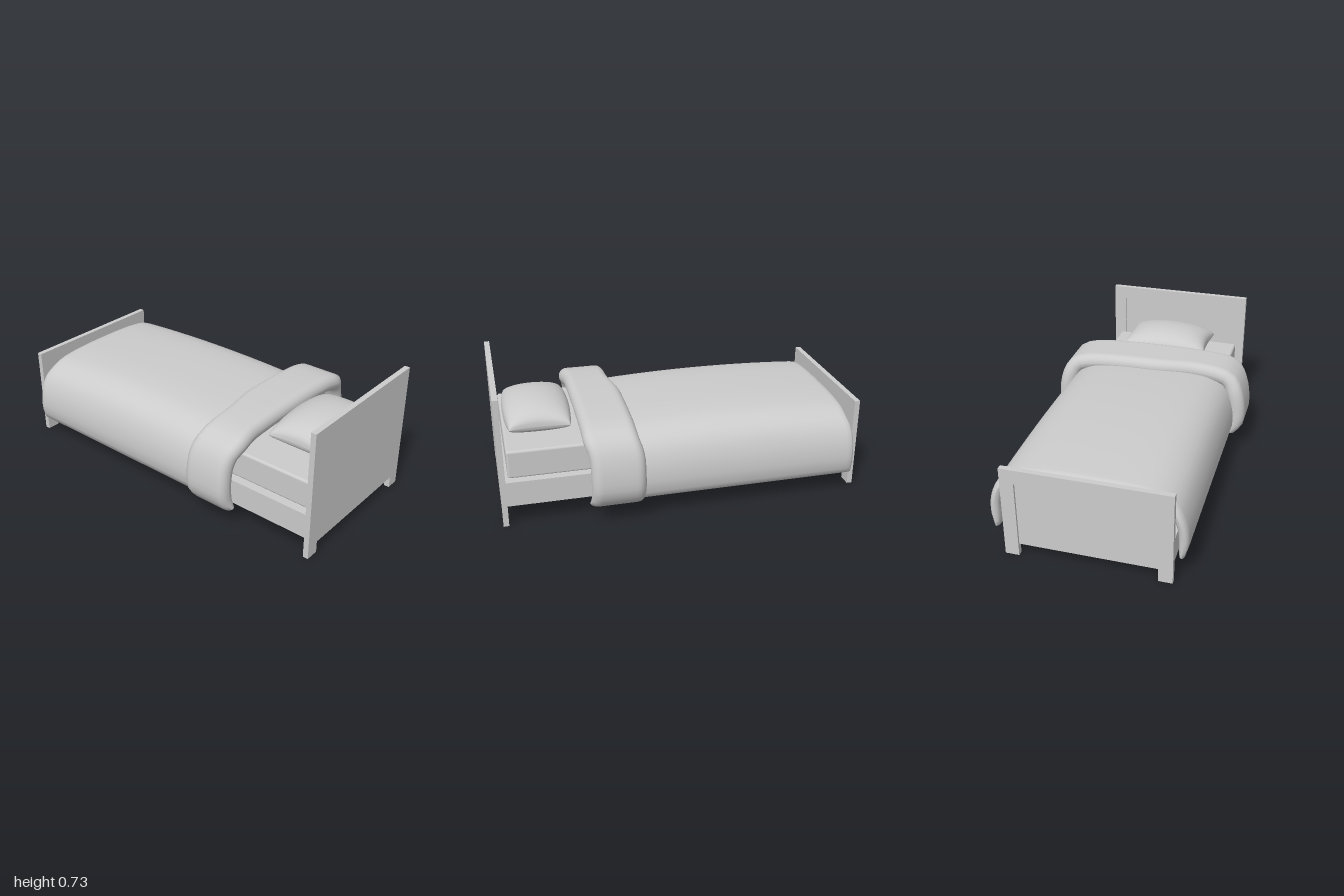
import * as THREE from 'three';
import { RoundedBoxGeometry } from 'three/addons/geometries/RoundedBoxGeometry.js';

const CX = -0.0175; // middle of the wooden frame
const grey = () => new THREE.MeshStandardMaterial({ color: 0xcccccc, side: THREE.DoubleSide });

function add(parent, name, geometry, x = 0, y = 0, z = 0) {
  const mesh = new THREE.Mesh(geometry, grey());
  mesh.name = name;
  mesh.position.set(x, y, z);
  parent.add(mesh);
  return mesh;
}

// Smooth indexed surface from point rows; rows may close into rings
function skin(rows, closed) {
  const n = rows[0].length, index = [];
  for (let i = 0; i < rows.length - 1; i++) {
    for (let j = 0; j < (closed ? n : n - 1); j++) {
      const a = i * n + j, b = i * n + (j + 1) % n;
      index.push(a, b, a + n, b, b + n, a + n);
    }
  }
  const g = new THREE.BufferGeometry();
  g.setAttribute('position', new THREE.Float32BufferAttribute(rows.flat(2), 3));
  g.setIndex(index);
  g.computeVertexNormals();
  return g;
}

// Board with two feet, posts and top rail standing proud of the panel on the -z side
function board(parent, name, height, z) {
  const g = new THREE.Group();
  g.name = name;
  const w = 0.4425, inner = 0.3675;
  const arch = (gap) => new THREE.Shape([
    [-w, 0], [-inner, 0], [-inner, gap], [inner, gap], [inner, 0], [w, 0], [w, height], [-w, height],
  ].map(([x, y]) => new THREE.Vector2(x, y)));
  const slab = (depth, gap) => new THREE.ExtrudeGeometry(arch(gap), { depth, bevelEnabled: false });
  add(g, name + 'Panel', slab(0.018, 0.065), 0, 0, 0.012);
  add(g, name + 'Border', slab(0.012, height - 0.08));
  g.position.set(CX, 0, z);
  parent.add(g);
}

// Thick cloth hung over the bed: a half profile is mirrored and swept from z0 to z1
function drape(profile, z0, z1, half, lift, wave) {
  const mirrored = [...profile.slice(1).reverse().map(([x, y]) => [-x, y]), ...profile];
  const curve = new THREE.CatmullRomCurve3(mirrored.map(([x, y]) => new THREE.Vector3(x, y, 0)));
  const N = 48, M = 28, rows = [];
  const pts = curve.getSpacedPoints(N);
  const tan = pts.map((_, i) => curve.getTangentAt(i / N));
  for (let k = 0; k <= M; k++) {
    const t = 0.5 - 0.5 * Math.cos(Math.PI * k / M);
    const end = Math.min(t, 1 - t) * (z1 - z0) / half;
    const h = half * Math.sqrt(Math.max(0, 1 - Math.max(0, 1 - end) ** 2));
    const side = (s) => pts.map((p, i) => {
      const hem = Math.min(1, 0.55 + Math.min(i, N - i) * 0.2);
      const up = Math.min(1, Math.max(0, (p.y - 0.12) / 0.35));
      const d = s * h * hem;
      return [p.x - tan[i].y * d, p.y + tan[i].x * d + lift(t) * up,
        z0 + (z1 - z0) * t + wave(p.x, t)];
    });
    rows.push([...side(1), ...side(-1).reverse()]);
  }
  return skin(rows, true);
}

// Pillow half: pinched corners, full sides; s = 1 top, -1 bottom
function pillowHalf(s, height) {
  const N = 28, rows = [];
  const spread = (i) => Math.sin((i / N - 0.5) * Math.PI);
  for (let i = 0; i <= N; i++) {
    const v = spread(i), row = [];
    for (let j = 0; j <= N; j++) {
      const u = spread(j) * s;
      const puff = Math.sqrt((1 - u ** 2) * (1 - v ** 2)) ** 0.75;
      row.push([u * (0.268 - 0.018 * (1 - v * v)), s * height * puff, v * (0.163 + 0.022 * (1 - u * u))]);
    }
    rows.push(row);
  }
  const g = skin(rows, false);
  g.index.array.reverse();
  g.computeVertexNormals();
  return g;
}

export function createModel() {
  const bed = new THREE.Group();
  bed.name = 'bed';

  // Wooden frame
  board(bed, 'headboard', 0.73, 0.97);
  board(bed, 'footboard', 0.52, -1);
  add(bed, 'bedBase', new THREE.BoxGeometry(0.885, 0.14, 1.94), CX, 0.19, 0);

  // Mattress
  add(bed, 'mattress', new RoundedBoxGeometry(0.79, 0.16, 1.9, 3, 0.014), CX, 0.335, 0.005);

  // Blanket, slightly crowned along its length, narrower hem at the foot
  const blanket = [[0, 0.478], [0.25, 0.47], [0.36, 0.45], [0.44, 0.4], [0.483, 0.31], [0.495, 0.21], [0.488, 0.122]];
  add(bed, 'blanket', drape(blanket, -0.935, 0.5, 0.026,
    (t) => 0.012 - 0.12 * (t - 0.46) ** 2,
    (x, t) => -0.015 * (1 - t) * THREE.MathUtils.smoothstep(Math.abs(x), 0.4, 0.48)));

  // Turned-down top of the blanket, with a slightly wavy edge
  const fold = [[0, 0.502], [0.28, 0.495], [0.4, 0.482], [0.475, 0.455], [0.515, 0.385], [0.535, 0.27], [0.53, 0.19], [0.505, 0.125]];
  add(bed, 'blanketFold', drape(fold, 0.27, 0.56, 0.05,
    () => 0,
    (x, t) => (1 - t) * 0.035 * THREE.MathUtils.smoothstep(-x, 0, 0.3)
      + t * 0.015 * THREE.MathUtils.smoothstep(-x, 0.3, 0.45)
      - 0.025 * THREE.MathUtils.smoothstep(Math.abs(x), 0.46, 0.53)));

  // Pillow
  const pillow = new THREE.Group();
  pillow.name = 'pillow';
  add(pillow, 'pillowTop', pillowHalf(1, 0.105));
  add(pillow, 'pillowBottom', pillowHalf(-1, 0.07));
  pillow.position.set(-0.003, 0.48, 0.76);
  bed.add(pillow);

  return bed;
}
